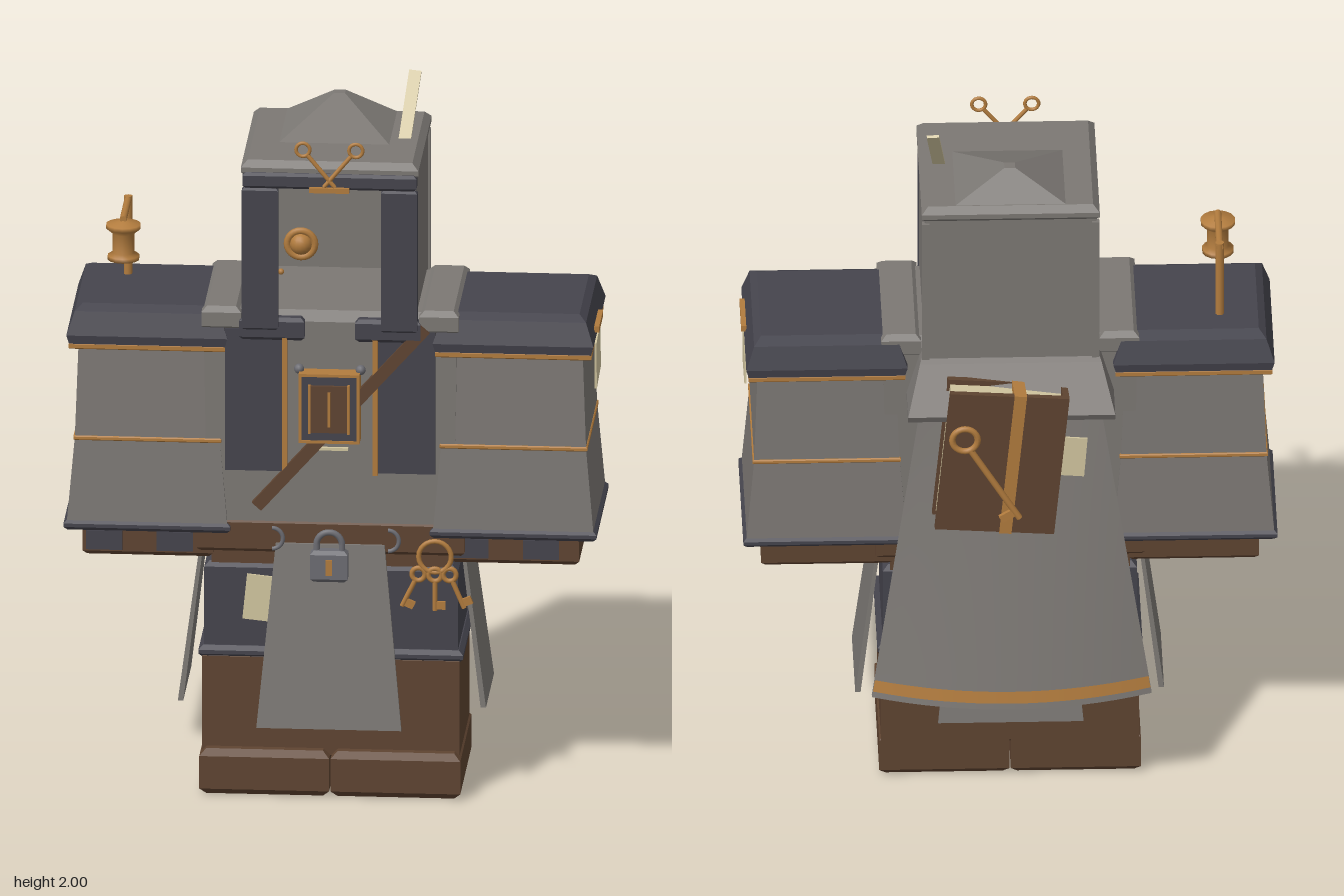
import * as THREE from 'three';

const mat = (name, color, side = THREE.FrontSide) => {
  const m = new THREE.MeshStandardMaterial({ color, side });
  m.name = name;
  return m;
};

export function createModel() {
  const root = new THREE.Group();
  root.name = 'hoodedFigure';
  const grey = mat('stoneGrey', 0x7c7874, THREE.DoubleSide);
  const dark = mat('slate', 0x45444d);
  const brown = mat('leather', 0x5f4431);
  const gold = mat('brass', 0xb27c3e, THREE.DoubleSide);
  const cream = mat('paper', 0xd2c6a0);
  const iron = mat('iron', 0x6c6c72);

  const add = (name, geo, m, pos = [0, 0, 0], rot = [0, 0, 0], parent = root) => {
    const mesh = new THREE.Mesh(geo, m);
    mesh.name = name;
    mesh.position.set(...pos);
    mesh.rotation.set(...rot);
    parent.add(mesh);
    return mesh;
  };

  // Stacked rectangles, each [y, x0, x1, z0, z1], joined into a closed flat-faced solid
  const loft = (rings) => {
    const r = rings.map(([y, a, b, c, d]) => [[a, y, d], [b, y, d], [b, y, c], [a, y, c]]);
    const v = [];
    const quad = (a, b, c, d) => v.push(...a, ...b, ...c, ...a, ...c, ...d);
    for (let k = 0; k + 1 < r.length; k++)
      for (let i = 0; i < 4; i++) {
        const j = (i + 1) % 4;
        quad(r[k][i], r[k][j], r[k + 1][j], r[k + 1][i]);
      }
    quad(...r[r.length - 1]);
    quad(...[...r[0]].reverse());
    const g = new THREE.BufferGeometry();
    g.setAttribute('position', new THREE.Float32BufferAttribute(v, 3));
    g.computeVertexNormals();
    return g;
  };
  // Box by its limits, with chamfered top and bottom
  const block = (x0, x1, y0, y1, z0, z1, b = 0.01) => loft([
    [y0, x0 + b, x1 - b, z0 + b, z1 - b], [y0 + b, x0, x1, z0, z1],
    [y1 - b, x0, x1, z0, z1], [y1, x0 + b, x1 - b, z0 + b, z1 - b]]);
  const box = (w, h, d) => new THREE.BoxGeometry(w, h, d);
  const torus = (r, t, arc = Math.PI * 2) => new THREE.TorusGeometry(r, t, 8, 24, arc);
  const rod = (name, a, b, r, m, parent = root) => {
    const p = new THREE.Vector3(...a), q = new THREE.Vector3(...b);
    const mesh = add(name, new THREE.CylinderGeometry(r, r, p.distanceTo(q), 10), m, [0, 0, 0], [0, 0, 0], parent);
    mesh.position.copy(p).add(q).multiplyScalar(0.5);
    mesh.quaternion.setFromUnitVectors(new THREE.Vector3(0, 1, 0), q.sub(p).normalize());
  };

  // Boots, skirt and belt
  add('rightBoot', block(-0.36, -0.002, 0, 0.13, -0.13, 0.29, 0.018), brown);
  add('leftBoot', block(0.002, 0.36, 0, 0.13, -0.13, 0.29, 0.018), brown);
  add('legs', block(-0.355, 0.355, 0.1, 0.4, -0.13, 0.25), brown);
  add('skirt', block(-0.35, 0.35, 0.39, 0.66, -0.12, 0.24, 0.015), dark);
  add('skirtTrim', block(-0.365, 0.365, 0.385, 0.42, -0.135, 0.255, 0.012), dark);
  add('waist', block(-0.33, 0.33, 0.64, 0.72, -0.12, 0.23), brown);
  add('belt', block(-0.37, 0.37, 0.7, 0.795, -0.145, 0.27), brown);

  // Hanging cloth panels
  add('frontTabard', loft([[0.21, -0.2, 0.2, 0.318, 0.328], [0.73, -0.15, 0.15, 0.265, 0.278]]), grey);
  add('backTabard', loft([[0.21, -0.2, 0.2, -0.208, -0.198], [0.73, -0.15, 0.15, -0.14, -0.13]]), grey);
  add('leftTabard', loft([[0.245, 0.41, 0.425, -0.09, 0.21], [0.7, 0.355, 0.365, -0.07, 0.19]]), grey);
  add('rightTabard', loft([[0.245, -0.425, -0.41, -0.09, 0.21], [0.7, -0.365, -0.355, -0.07, 0.19]]), grey);

  // Torso with front panels
  add('torso', loft([[0.79, -0.34, 0.34, -0.145, 0.265], [1.37, -0.35, 0.35, -0.145, 0.265],
    [1.4, -0.33, 0.33, -0.125, 0.25]]), grey);
  for (const s of [-1, 1]) {
    add('chestPanel', box(0.16, 0.41, 0.02), dark, [s * 0.21, 1.145, 0.27]);
    add('collarTab', block(-0.09, 0.09, 1.32, 1.385, 0.25, 0.29), dark, [s * 0.16, 0, 0]);
    add('chestTrim', box(0.014, 0.42, 0.02), gold, [s * 0.125, 1.145, 0.278]);
    add('shoulderRidge', block(-0.055, 0.055, 1.34, 1.41, -0.15, 0.28, 0.015), grey, [s * 0.3, 0, 0]);
    add('beltHook', torus(0.03, 0.006, Math.PI), iron, [s * 0.16, 0.745, 0.28], [0, 0, -Math.PI / 2]);
    add('chestStud', new THREE.SphereGeometry(0.014, 12, 8), iron, [s * 0.085, 1.24, 0.285]);
  }
  add('chestStrap', box(0.034, 0.7, 0.02), brown, [0.03, 1.1, 0.28], [0, 0, -0.725]);

  // Chest lantern
  add('lanternCase', box(0.16, 0.19, 0.05), dark, [0, 1.135, 0.29]);
  add('lanternDoor', box(0.105, 0.135, 0.012), brown, [0, 1.135, 0.318]);
  for (const s of [-1, 1]) {
    add('lanternSide', box(0.008, 0.2, 0.05), gold, [s * 0.08, 1.135, 0.293]);
    add('lanternDoorSide', box(0.007, 0.14, 0.014), gold, [s * 0.054, 1.135, 0.319]);
    add('lanternRail', box(0.16, 0.008, 0.05), gold, [0, 1.135 + s * 0.096, 0.293]);
  }
  add('lanternBar', box(0.008, 0.1, 0.014), gold, [0, 1.135, 0.321]);
  add('lanternSlip', box(0.1, 0.008, 0.01), cream, [0, 1.008, 0.28]);

  // Arms
  for (const s of [-1, 1]) {
    const arm = new THREE.Group();
    arm.name = s > 0 ? 'leftArm' : 'rightArm';
    arm.position.x = s * 0.505;
    root.add(arm);
    const part = (name, geo, m) => add(name, geo, m, [0, 0, 0], [0, 0, 0], arm);
    part('sleeve', loft([[0.77, -0.222, 0.222, -0.165, 0.278], [1.02, -0.2, 0.2, -0.15, 0.265],
      [1.3, -0.19, 0.19, -0.14, 0.255]]), grey);
    part('shoulderCap', loft([[1.295, -0.215, 0.215, -0.165, 0.28], [1.32, -0.222, 0.222, -0.17, 0.285],
      [1.385, -0.2, 0.2, -0.15, 0.265], [1.4, -0.18, 0.18, -0.115, 0.235]]), dark);
    part('capTrim', block(-0.216, 0.216, 1.28, 1.297, -0.166, 0.281, 0.003), gold);
    part('sleeveSeam', block(-0.204, 0.204, 1.012, 1.025, -0.154, 0.269, 0.003), gold);
    part('cuff', block(-0.23, 0.23, 0.755, 0.785, -0.172, 0.285, 0.01), dark);
    part('hand', block(-0.18, 0.18, 0.675, 0.765, -0.135, 0.25, 0.012), brown);
    for (const x of [-0.12, 0.075])
      add('handPlate', box(0.1, 0.055, 0.008), dark, [x, 0.72, 0.252], [0, 0, 0], arm);
  }

  // Hollow hood
  add('hoodBack', box(0.47, 0.44, 0.06), grey, [0, 1.58, -0.155]);
  for (const s of [-1, 1]) {
    add('hoodSide', box(0.035, 0.44, 0.47), grey, [s * 0.22, 1.58, 0.053]);
    add('hoodEdge', box(0.02, 0.43, 0.02), grey, [s * 0.234, 1.575, -0.182]);
    add('hoodPanel', block(-0.05, 0.05, 1.355, 1.765, 0.28, 0.305, 0.006), dark, [s * 0.192, 0, 0]);
  }
  add('hoodCeiling', block(-0.235, 0.235, 1.76, 1.8, -0.185, 0.288), grey);
  add('hoodLip', block(-0.245, 0.245, 1.79, 1.84, -0.195, 0.295, 0.018), grey);
  add('hoodBrow', block(-0.24, 0.24, 1.765, 1.81, 0.27, 0.306, 0.008), dark);
  add('hoodPeak', loft([[1.832, -0.165, 0.165, -0.18, 0.14], [1.92, -0.015, 0.015, -0.11, -0.08]]), grey);

  // Single eye and brow shears
  add('eyeRing', torus(0.038, 0.01), gold, [-0.08, 1.6, 0.28]);
  add('eye', new THREE.SphereGeometry(0.032, 16, 12), gold, [-0.08, 1.6, 0.275]);
  add('eyePin', new THREE.SphereGeometry(0.009, 8, 6), gold, [-0.135, 1.52, 0.285]);
  add('browBar', box(0.11, 0.014, 0.02), gold, [0, 1.767, 0.308]);
  for (const s of [-1, 1]) {
    rod('shearsShank', [-s * 0.015, 1.775, 0.308], [s * 0.06, 1.865, 0.305], 0.006, gold);
    add('shearsRing', torus(0.019, 0.005), gold, [s * 0.073, 1.881, 0.305]);
  }
  add('quill', box(0.034, 0.205, 0.008), cream, [0.2, 1.915, 0], [-0.66, 0, -0.1]);

  // Shoulder lamp on a crane
  rod('cranePost', [-0.58, 1.39, -0.03], [-0.58, 1.625, -0.03], 0.012, gold);
  rod('craneArm', [-0.58, 1.615, -0.04], [-0.58, 1.615, 0.15], 0.01, gold);
  const lamp = [[0, 0], [0.044, 0], [0.044, 0.012], [0.03, 0.02], [0.03, 0.075], [0.048, 0.09], [0.048, 0.102], [0, 0.115]];
  add('lamp', new THREE.LatheGeometry(lamp.map((p) => new THREE.Vector2(...p)), 14), gold, [-0.58, 1.498, 0.14]);

  // Cape: a sheet that widens, leans back and bows around the body
  const cape = (t0, t1, out) => {
    const g = new THREE.PlaneGeometry(2, 1, 16, 10);
    const p = g.attributes.position;
    for (let i = 0; i < p.count; i++) {
      const u = p.getX(i), t = t0 + (t1 - t0) * (0.5 - p.getY(i));
      p.setXYZ(i, -u * (0.23 + 0.155 * t), 1.3 - 0.96 * t - 0.02 * (1 - u * u) * t,
        -0.145 - 0.17 * t + 0.045 * u * u * t - out);
    }
    g.computeVertexNormals();
    return g;
  };
  add('capeOuter', cape(0, 1, 0.012), grey);
  add('capeLining', cape(0, 1, 0), grey);
  add('capeHem', cape(0.945, 0.98, 0.017), gold);
  add('capeCollar', loft([[1.21, -0.285, 0.285, -0.275, -0.14], [1.23, -0.285, 0.285, -0.285, -0.14],
    [1.35, -0.25, 0.25, -0.2, -0.13], [1.37, -0.24, 0.24, -0.17, -0.12]]), grey);

  // Book carried on the back, with strap and key
  const book = new THREE.Group();
  book.name = 'book';
  book.position.set(0.03, 1.095, -0.265);
  book.rotation.set(0, 0.06, 0.1);
  root.add(book);
  const bk = (name, geo, m, pos, rot) => add(name, geo, m, pos, rot, book);
  for (const z of [-0.04, 0.04]) bk('cover', box(0.33, 0.43, 0.018), brown, [0, 0, z]);
  bk('spine', box(0.018, 0.43, 0.09), brown, [-0.157, 0, 0]);
  bk('pages', box(0.305, 0.4, 0.064), cream, [0.005, 0, 0]);
  bk('strap', box(0.034, 0.436, 0.104), gold, [-0.03, 0, 0]);
  add('bookNote', box(0.09, 0.12, 0.006), cream, [-0.16, 1.08, -0.25], [0, 0, 0.08]);
  add('backKeyRing', torus(0.035, 0.009), gold, [0.13, 1.18, -0.325]);
  rod('backKeyShaft', [0.115, 1.148, -0.325], [-0.02, 0.93, -0.325], 0.009, gold);
  add('backKeyBit', box(0.05, 0.022, 0.012), gold, [0.01, 0.94, -0.325], [0, 0, -0.55]);

  // Padlock
  add('padlock', block(-0.052, 0.052, 0.635, 0.725, 0.285, 0.33), iron);
  add('shackle', torus(0.035, 0.009, Math.PI), iron, [0, 0.74, 0.308]);
  for (const s of [-1, 1]) rod('shackleLeg', [s * 0.035, 0.715, 0.308], [s * 0.035, 0.742, 0.308], 0.009, iron);
  add('keyhole', box(0.018, 0.045, 0.008), gold, [0, 0.68, 0.33]);

  // Key ring at the hip
  add('hipRing', torus(0.045, 0.007), gold, [0.29, 0.705, 0.29]);
  for (const a of [-0.45, 0, 0.4]) {
    const key = new THREE.Group();
    key.name = 'hipKey';
    key.position.set(0.29 + a * 0.09, 0.665, 0.29);
    key.rotation.z = a;
    root.add(key);
    add('bow', torus(0.018, 0.007), gold, [0, -0.012, 0], [0, 0, 0], key);
    rod('shaft', [0, -0.03, 0], [0, -0.115, 0], 0.007, gold, key);
    add('bit', box(0.03, 0.022, 0.01), gold, [0.014, -0.1, 0], [0, 0, 0], key);
  }

  // Pinned notes
  add('skirtNote', box(0.095, 0.13, 0.006), cream, [-0.19, 0.562, 0.252], [0, 0, -0.1]);
  add('armNote', box(0.006, 0.135, 0.15), cream, [0.724, 1.235, 0.09], [0.1, 0, 0]);
  add('armPin', box(0.014, 0.018, 0.15), gold, [0.728, 1.338, 0.105]);
  return root;
}
